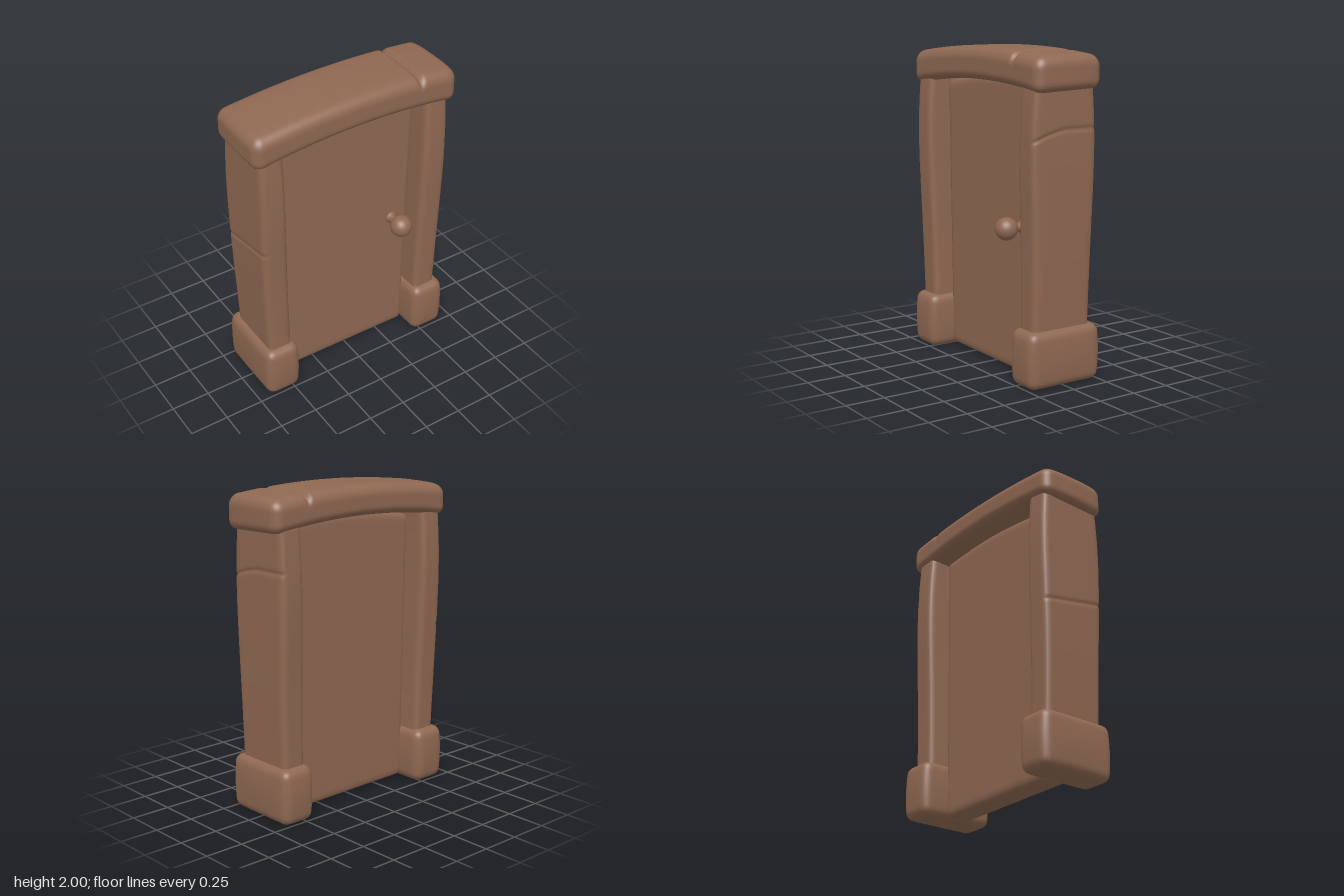
import * as THREE from 'three';
import { mergeVertices } from 'three/addons/utils/BufferGeometryUtils.js';

const wood = new THREE.MeshStandardMaterial({ color: 0x8f6852 });
wood.name = 'brown wood';

// Soft falloff used for carved cracks.
const groove = (d, width) => Math.exp(-(d * d) / (width * width));

// Box with rounded edges between two corners, reshaped by a rule on each vertex.
function softBlock(name, min, max, radius, segments, rule) {
  const box = new THREE.Box3(new THREE.Vector3(...min), new THREE.Vector3(...max));
  const size = box.getSize(new THREE.Vector3());
  const centre = box.getCenter(new THREE.Vector3());
  const inner = box.clone().expandByScalar(-radius);
  let geometry = new THREE.BoxGeometry(size.x, size.y, size.z, ...segments);
  geometry.translate(centre.x, centre.y, centre.z);
  geometry.deleteAttribute('uv');
  geometry.deleteAttribute('normal');
  geometry = mergeVertices(geometry, 1e-5);

  const position = geometry.attributes.position;
  const p = new THREE.Vector3();
  const core = new THREE.Vector3();
  for (let i = 0; i < position.count; i++) {
    p.fromBufferAttribute(position, i);
    inner.clampPoint(p, core);
    p.sub(core).setLength(radius).add(core);
    rule(p);
    position.setXYZ(i, p.x, p.y, p.z);
  }
  geometry.computeVertexNormals();
  const mesh = new THREE.Mesh(geometry, wood);
  mesh.name = name;
  return mesh;
}

// Foot blocks: pillowy, with every side face swelling towards its middle.
function makeFoot(name, x) {
  return softBlock(name, [x - 0.112, 0, -0.253], [x + 0.112, 0.35, 0.247], 0.05, [14, 20, 28], (p) => {
    const u = (p.x - x) / 0.112;
    const v = (p.y - 0.175) / 0.175;
    const w = (p.z + 0.003) / 0.25;
    p.x += 0.013 * u * (1 - v * v) * (1 - 0.6 * w * w);
    p.z += 0.015 * w * (1 - v * v) * (1 - 0.4 * u * u);
  });
}

// Posts lean outwards, deepen in the upper half and carry one crack on the outer face.
function makePost(name, side, lean, crackHeight) {
  return softBlock(name, [-0.08, 0.28, -0.2], [0.08, 1.82, 0.2], 0.035, [12, 140, 24], (p) => {
    const t = Math.max(0, (p.y - 0.35) / 1.41);
    const outer = Math.max(0, p.x * side / 0.08);
    const crack = outer * groove(p.y - crackHeight(p.z), 0.011);
    p.x += side * (lean(t) + 0.008 * outer * Math.sin(Math.PI * t) - 0.008 * crack);
    p.z *= (0.205 + 0.008 * t + 0.018 * Math.sin(Math.PI * t ** 2.2)) / 0.2;
  });
}

export function createModel() {
  const model = new THREE.Group();
  model.name = 'doorway';

  // Door panel: wider towards its arched top, which tucks under the lintel.
  model.add(softBlock('doorPanel', [-1, 0, -0.09], [1, 1.8, 0.09], 0.04, [64, 70, 12], (p) => {
    p.x = p.x * (0.455 + 0.021 * p.y) - 0.007;
    const t = p.y / 1.8;
    p.y = THREE.MathUtils.lerp(0.008 - 0.01 * p.x, 1.818 - 0.15 * (p.x - 0.15) ** 2, t);
  }));

  // Door knob on its stem and rose
  const knob = new THREE.Group();
  knob.name = 'doorKnob';
  knob.position.set(0.338, 0.925, 0);
  const ball = new THREE.Mesh(new THREE.SphereGeometry(0.07, 32, 20), wood);
  ball.name = 'knobBall';
  ball.position.z = 0.204;
  const profile = [[0, 0.08], [0.04, 0.08], [0.04, 0.098], [0.034, 0.106], [0.026, 0.112], [0.026, 0.16]];
  const stem = new THREE.Mesh(
    new THREE.LatheGeometry(profile.map(([r, h]) => new THREE.Vector2(r, h)), 24), wood);
  stem.name = 'knobStem';
  stem.rotation.x = Math.PI / 2;
  knob.add(ball, stem);
  model.add(knob);

  // Posts and feet
  model.add(
    makePost('leftPost', 1, (t) => 0.55 + 0.018 * t,
      (z) => 1.535 - 0.9 * Math.max(0, z + 0.02) ** 2 - 0.1 * Math.max(0, z)),
    makePost('rightPost', -1, (t) => 0.5625 + 0.02 * t * (2 - t), (z) => 1.08 + 0.2 * z),
    makeFoot('leftFoot', 0.557),
    makeFoot('rightFoot', -0.567),
  );

  // Lintel: arched beam with swollen ends and a crack across the top near its left end.
  model.add(softBlock('lintel', [-0.695, 0, -0.236], [0.695, 0.2, 0.236], 0.06, [140, 16, 30], (p) => {
    const t = p.y / 0.2;
    const w = p.z / 0.236;
    const top = 2 - 0.09 * (p.x - 0.1) ** 2 - 0.02 * w ** 4;
    const bottom = 1.803 - 0.12 * (p.x - 0.05) ** 2 - 0.008 * w;
    const crack = groove(p.x - 0.44 + 0.02 * p.z, 0.018) * Math.max(0, (t - 0.6) / 0.4);
    p.y = THREE.MathUtils.lerp(bottom, top, t) - 0.026 * crack;
    p.z = p.z * (1 - 0.04 * crack) + 0.004 * p.x;
    p.x += 0.012 * (p.x / 0.695) ** 9 * (1 - w * w);
  }));

  return model;
}
